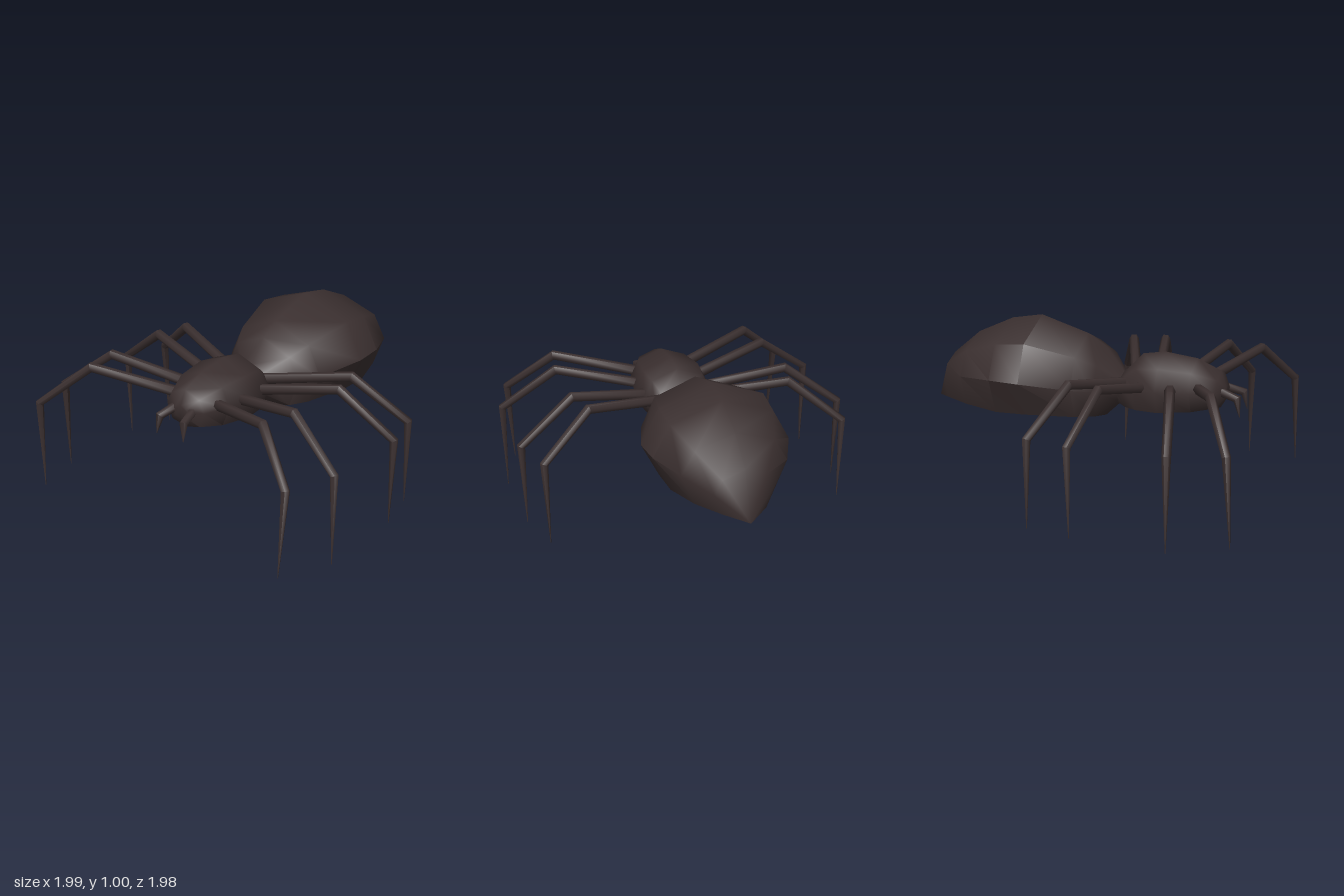
import * as THREE from 'three';
import { toCreasedNormals } from 'three/addons/utils/BufferGeometryUtils.js';

// Skin a list of equal-length rings (Vector3 arrays) into a closed surface
function loft(rings, crease) {
  const n = rings[0].length;
  const pos = [];
  const index = [];
  rings.forEach((ring) => ring.forEach((p) => pos.push(p.x, p.y, p.z)));
  for (let k = 0; k < rings.length - 1; k++) {
    for (let j = 0; j < n; j++) {
      const a = k * n + j;
      const b = k * n + ((j + 1) % n);
      index.push(a, b, b + n, a, b + n, a + n);
    }
  }
  const last = (rings.length - 1) * n;
  for (let j = 1; j < n - 1; j++) {
    index.push(0, j + 1, j);
    index.push(last, last + j, last + j + 1);
  }
  const geo = new THREE.BufferGeometry();
  geo.setAttribute('position', new THREE.Float32BufferAttribute(pos, 3));
  geo.setIndex(index);
  return toCreasedNormals(geo, crease);
}

// Eight-sided body segment; each station is [x, top, ridge, bottom, halfWidth]
function bodyGeometry(stations, crease) {
  return loft(stations.map(([x, top, ridge, bottom, w]) => {
    const upper = ridge + (top - ridge) * 0.65;
    const lower = ridge + (bottom - ridge) * 0.8;
    return [
      [top, 0], [upper, 0.75 * w], [ridge, w], [lower, 0.75 * w],
      [bottom, 0], [lower, -0.75 * w], [ridge, -w], [upper, -0.75 * w],
    ].map(([y, z]) => new THREE.Vector3(x, y, z));
  }), crease);
}

// Six-sided jointed limb with mitred joints along a path of points
function limbGeometry(path, radii) {
  const pts = path.map((p) => new THREE.Vector3(...p));
  const run = pts[pts.length - 1].clone().sub(pts[0]).setY(0);
  const side = new THREE.Vector3(0, 1, 0).cross(run).normalize();
  const rings = pts.map((p, i) => {
    const before = p.clone().sub(pts[Math.max(i - 1, 0)]).normalize();
    const after = pts[Math.min(i + 1, pts.length - 1)].clone().sub(p).normalize();
    const t = before.clone().add(after).normalize();
    const u = side.clone().addScaledVector(t, -side.dot(t)).normalize();
    const v = t.clone().cross(u);
    return Array.from({ length: 6 }, (_, j) => {
      const a = (j / 6) * Math.PI * 2;
      return p.clone()
        .addScaledVector(u, Math.cos(a) * radii[i])
        .addScaledVector(v, Math.sin(a) * radii[i]);
    });
  });
  return loft(rings, 1.15);
}

export function createModel() {
  const model = new THREE.Group();
  model.name = 'spider';
  const shell = new THREE.MeshStandardMaterial({ color: 0x3a2f2f });
  shell.name = 'dark brown shell';

  const add = (name, geometry) => {
    const mesh = new THREE.Mesh(geometry, shell);
    mesh.name = name;
    model.add(mesh);
  };

  // Large domed abdomen tapering to a low rear point
  add('abdomen', bodyGeometry([
    [-0.25, 0.64, 0.62, 0.59, 0.02],
    [-0.15, 0.71, 0.62, 0.53, 0.11],
    [-0.05, 0.84, 0.63, 0.435, 0.25],
    [0.06, 0.91, 0.645, 0.43, 0.32],
    [0.34, 1.0, 0.68, 0.43, 0.405],
    [0.52, 0.97, 0.685, 0.425, 0.39],
    [0.73, 0.875, 0.67, 0.445, 0.3],
    [0.89, 0.74, 0.61, 0.465, 0.165],
    [0.99, 0.478, 0.475, 0.472, 0.003],
  ], 0.86));

  // Head and thorax in one flattened segment
  add('thorax', bodyGeometry([
    [-0.765, 0.67, 0.64, 0.6, 0.05],
    [-0.725, 0.75, 0.645, 0.535, 0.13],
    [-0.59, 0.81, 0.65, 0.505, 0.195],
    [-0.4, 0.835, 0.65, 0.485, 0.225],
    [-0.27, 0.815, 0.65, 0.488, 0.205],
    [-0.2, 0.74, 0.64, 0.495, 0.16],
    [-0.11, 0.66, 0.62, 0.53, 0.08],
  ], 0.95));

  // Legs on the +z side as [x, y, z] joints: hip, knee, ankle, tip
  const legs = [
    [[-0.62, 0.665, 0.12], [-0.82, 0.755, 0.61], [-0.975, 0.52, 0.875], [-0.997, 0.02, 0.845]],
    [[-0.47, 0.655, 0.15], [-0.61, 0.755, 0.65], [-0.685, 0.52, 0.965], [-0.683, 0.0, 0.957]],
    [[-0.32, 0.655, 0.15], [-0.215, 0.755, 0.65], [-0.15, 0.52, 0.97], [-0.155, 0.02, 0.955]],
    [[-0.2, 0.665, 0.1], [-0.03, 0.755, 0.6], [0.1, 0.52, 0.895], [0.11, 0.02, 0.88]],
  ];
  // Fang in front of the head: root, bend, tip
  const fang = [[-0.73, 0.645, 0.06], [-0.84, 0.615, 0.085], [-0.857, 0.515, 0.095]];

  for (const s of [1, -1]) {
    const mirror = (path) => path.map(([x, y, z]) => [x, y, z * s]);
    const label = s > 0 ? 'left' : 'right';
    legs.forEach((path, i) => {
      add(`${label}Leg${i + 1}`, limbGeometry(mirror(path), [0.031, 0.029, 0.025, 0.002]));
    });
    add(`${label}Fang`, limbGeometry(mirror(fang), [0.026, 0.025, 0.002]));
  }
  return model;
}
